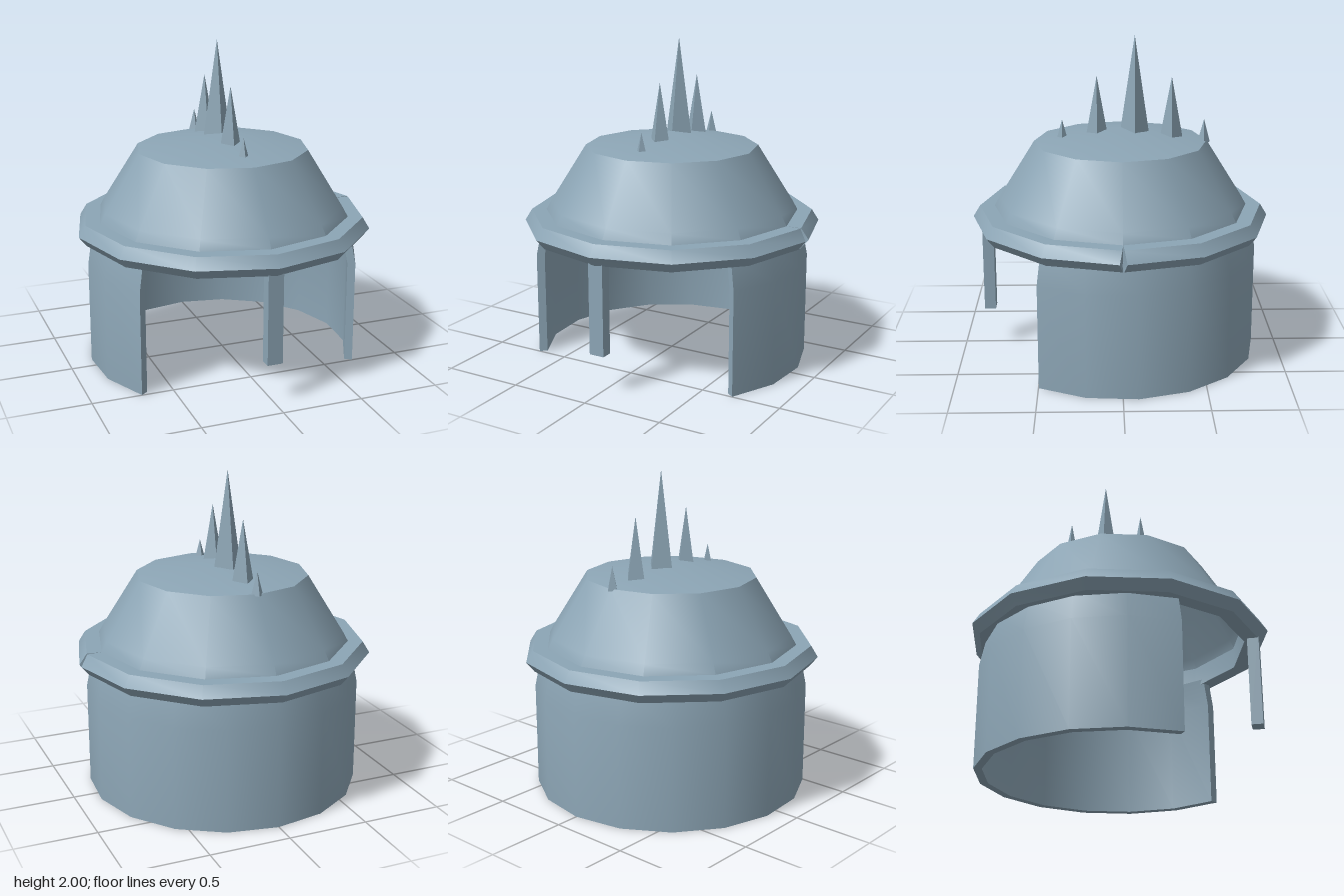
import * as THREE from 'three';
import { toCreasedNormals } from 'three/addons/utils/BufferGeometryUtils.js';

const CREASE = 0.6; // keeps 30 degree steps smooth and sharper edges hard

// Sweeps a closed counterclockwise (radius, y) profile around y, with capped ends.
// shift(radius, station) moves a station's points along z.
function sweepArc(profile, start, end, segments, shift = () => 0) {
  const n = profile.length;
  const positions = [];
  const index = [];
  for (let i = 0; i <= segments; i++) {
    const a = start + ((end - start) * i) / segments;
    for (const [r, y] of profile) positions.push(r * Math.cos(a), y, r * Math.sin(a) + shift(r, i));
  }
  for (let i = 0; i < segments; i++) {
    for (let j = 0; j < n; j++) {
      const a = i * n + j, b = i * n + (j + 1) % n;
      index.push(a, b, b + n, a, b + n, a + n);
    }
  }
  const last = segments * n;
  const outline = profile.map(([r, y]) => new THREE.Vector2(r, y));
  for (const [a, b, c] of THREE.ShapeUtils.triangulateShape(outline, [])) {
    index.push(a, c, b, last + a, last + b, last + c);
  }
  const geometry = new THREE.BufferGeometry();
  geometry.setAttribute('position', new THREE.Float32BufferAttribute(positions, 3));
  geometry.setIndex(index);
  return toCreasedNormals(geometry, CREASE);
}

export function createModel() {
  const model = new THREE.Group();
  model.name = 'helmet';
  const steel = new THREE.MeshStandardMaterial({ color: 0x8ca5b5, side: THREE.DoubleSide });
  steel.name = 'blue grey steel';

  const add = (name, geometry, x = 0, y = 0, z = 0) => {
    const mesh = new THREE.Mesh(geometry, steel);
    mesh.name = name;
    mesh.position.set(x, y, z);
    model.add(mesh);
    return mesh;
  };

  // Twelve-sided crown with a shallow pointed cap
  const crown = [[0.8, 0.86], [0.79, 0.93], [0.757, 0.99], [0.535, 1.345], [0, 1.43]];
  const crownGeometry = new THREE.LatheGeometry(crown.map(([r, y]) => new THREE.Vector2(r, y)), 12);
  add('crown', toCreasedNormals(crownGeometry, CREASE));

  // Bevelled brim whose two ends part in a small notch on the left side
  const brim = [[0.78, 0.8], [0.877, 0.8], [0.925, 0.86], [0.882, 0.93], [0.78, 0.93]];
  const notch = (r, i) => (i % 12 ? 0 : (i ? -1 : 1) * 0.36 * Math.max(0, r - 0.865));
  add('brim', sweepArc(brim, 0, Math.PI * 2, 12, notch));

  // Neck and cheek wall, open at the front
  const wall = [[0.805, 0.005], [0.855, 0.005], [0.855, 0.65], [0.818, 0.83], [0.768, 0.83], [0.805, 0.65]];
  const cheek = THREE.MathUtils.degToRad(35.6);
  add('neckAndCheekGuard', sweepArc(wall, -Math.PI - cheek, cheek, 12));

  // Nose guard hanging from the brim
  add('noseGuard', new THREE.BoxGeometry(0.095, 0.6, 0.07), 0, 0.55, 0.835);

  // Row of crest spikes: z, half width, base y, tip y
  const spikes = [
    [0.36, 0.03, 1.37, 1.48],
    [0.145, 0.064, 1.395, 1.75],
    [-0.087, 0.088, 1.405, 2.0],
    [-0.315, 0.069, 1.37, 1.745],
    [-0.517, 0.038, 1.335, 1.48],
  ];
  spikes.forEach(([z, r, base, tip], i) => {
    const cone = new THREE.ConeGeometry(r, tip - base, 4);
    add('crestSpike' + (i + 1), toCreasedNormals(cone, CREASE), 0, (base + tip) / 2, z);
  });

  return model;
}
